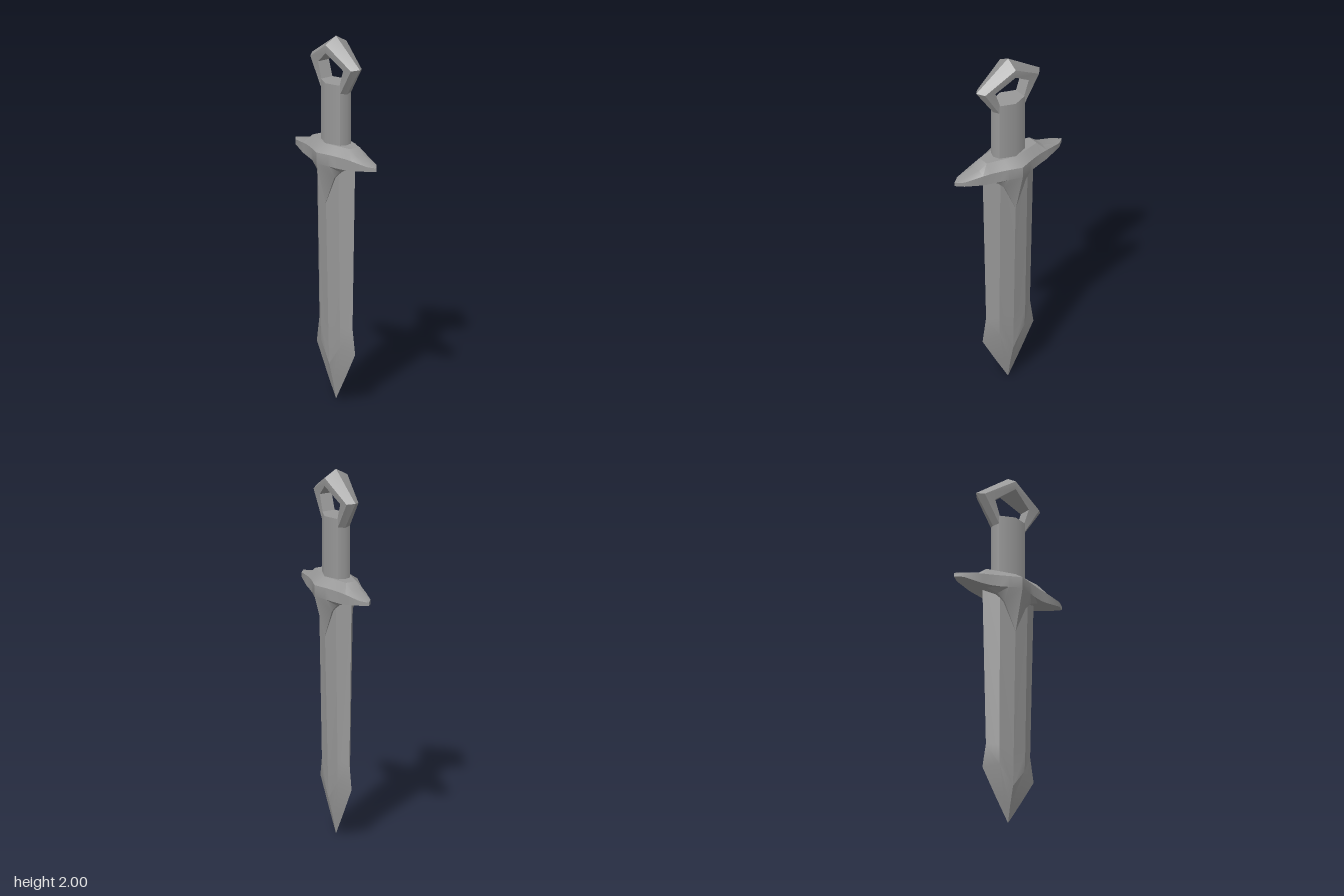
import * as THREE from 'three';
import { toCreasedNormals } from 'three/addons/utils/BufferGeometryUtils.js';

const V = (x, y, z) => new THREE.Vector3(x, y, z);
const steel = new THREE.MeshStandardMaterial({ color: 0x999999 });

// Skin a row of equal-length rings, cap both ends and face everything outward.
function loft(name, rings, crease) {
  const tris = [];
  const add = (a, b, c) => {
    const area = b.clone().sub(a).cross(c.clone().sub(a)).length();
    if (area > 1e-8) tris.push([a, b, c]);
  };
  const n = rings[0].length;
  for (let i = 0; i < rings.length - 1; i++) {
    for (let j = 0; j < n; j++) {
      const k = (j + 1) % n;
      const [a, b, c, d] = [rings[i][j], rings[i][k], rings[i + 1][k], rings[i + 1][j]];
      // mirror the diagonal on alternate quadrants so both halves match
      if (a.x * a.z + b.x * b.z + c.x * c.z + d.x * d.z >= 0) {
        add(a, b, c); add(a, c, d);
      } else {
        add(a, b, d); add(b, c, d);
      }
    }
  }
  const cap = (ring, flip) => {
    const mid = V(0, 0, 0);
    ring.forEach((p) => mid.addScaledVector(p, 1 / n));
    ring.forEach((p, j) => {
      const q = ring[(j + 1) % n];
      flip ? add(mid, q, p) : add(mid, p, q);
    });
  };
  cap(rings[0], true);
  cap(rings[rings.length - 1], false);

  const volume = tris.reduce((s, [a, b, c]) => s + a.dot(b.clone().cross(c)), 0);
  const pts = tris.flatMap(([a, b, c]) => (volume < 0 ? [a, c, b] : [a, b, c]));
  const geometry = toCreasedNormals(new THREE.BufferGeometry().setFromPoints(pts), crease);
  const mesh = new THREE.Mesh(geometry, steel);
  mesh.name = name;
  return mesh;
}

// Eight-sided ring: side edge, shoulder and centre ridge, mirrored in x and z.
const octagon = ([ex, ey], [sx, sy, sz], [cy, cz]) => [
  V(ex, ey, 0), V(sx, sy, sz), V(0, cy, cz), V(-sx, sy, sz),
  V(-ex, ey, 0), V(-sx, sy, -sz), V(0, cy, -cz), V(sx, sy, -sz),
];

export function createModel() {
  const model = new THREE.Group();

  // Blade: broad shoulders, slight waist, flared point
  model.add(loft('blade', [
    octagon([0.168, 1.34], [0.09, 1.34, 0.053], [1.34, 0.072]),
    octagon([0.145, 0.42], [0.085, 0.42, 0.038], [0.42, 0.051]),
    octagon([0.168, 0.28], [0.082, 0.31, 0.036], [0.2, 0.045]),
    octagon([0.083, 0.135], [0.035, 0.12, 0.014], [0.1, 0.02]),
    octagon([0, 0], [0, 0, 0], [0, 0]),
  ], 0.3));

  // Grip
  model.add(loft('grip', [1.4, 1.75].map((y) =>
    octagon([0.098, y], [0.085, y, 0.036], [y, 0.069])), 0.79));

  // Guard: [x, top y, top z, rim y, rim z, lower rim y, keel y, keel z]
  const half = [
    [0, 1.42, 0.07, 1.38, 0.13, 1.32, 1.09, 0.068],
    [0.07, 1.42, 0.055, 1.378, 0.103, 1.315, 1.245, 0.064],
    [0.11, 1.42, 0.045, 1.376, 0.088, 1.312, 1.285, 0.056],
    [0.165, 1.42, 0.032, 1.373, 0.07, 1.311, 1.308, 0.04],
    [0.21, 1.388, 0.026, 1.37, 0.06, 1.314, 1.312, 0.03],
    [0.312, 1.364, 0.015, 1.358, 0.033, 1.332, 1.33, 0.015],
    [0.355, 1.356, 0, 1.354, 0, 1.337, 1.336, 0],
  ];
  const stations = [...half.slice(1).reverse().map(([x, ...r]) => [-x, ...r]), ...half];
  model.add(loft('guard', stations.map(([x, ty, tz, ry, rz, ly, ky, kz]) => [
    V(x, ty, tz), V(x, ry, rz), V(x, ly, rz), V(x, ky, kz),
    V(x, ky, -kz), V(x, ly, -rz), V(x, ry, -rz), V(x, ty, -tz),
  ]), 0.5));

  // Pommel: open pentagonal loop rising from the grip
  const link = (s, [ox, oy], [rx, ry], [ix, iy], z) => [
    V(s * ox, oy, 0), V(s * rx, ry, z), V(s * ix, iy, z),
    V(s * ix, iy, -z), V(s * rx, ry, -z),
  ];
  const foot = (s) => link(s, [0.098, 1.7], [0.085, 1.705], [0.078, 1.745], 0.036);
  const corner = (s) => link(s, [0.21, 1.86], [0.178, 1.852], [0.11, 1.838], 0.036);
  model.add(loft('pommelRing', [
    foot(1), corner(1),
    link(1, [0, 2], [0, 1.96], [0, 1.915], 0.069),
    corner(-1), foot(-1),
  ], 0.5));

  return model;
}
